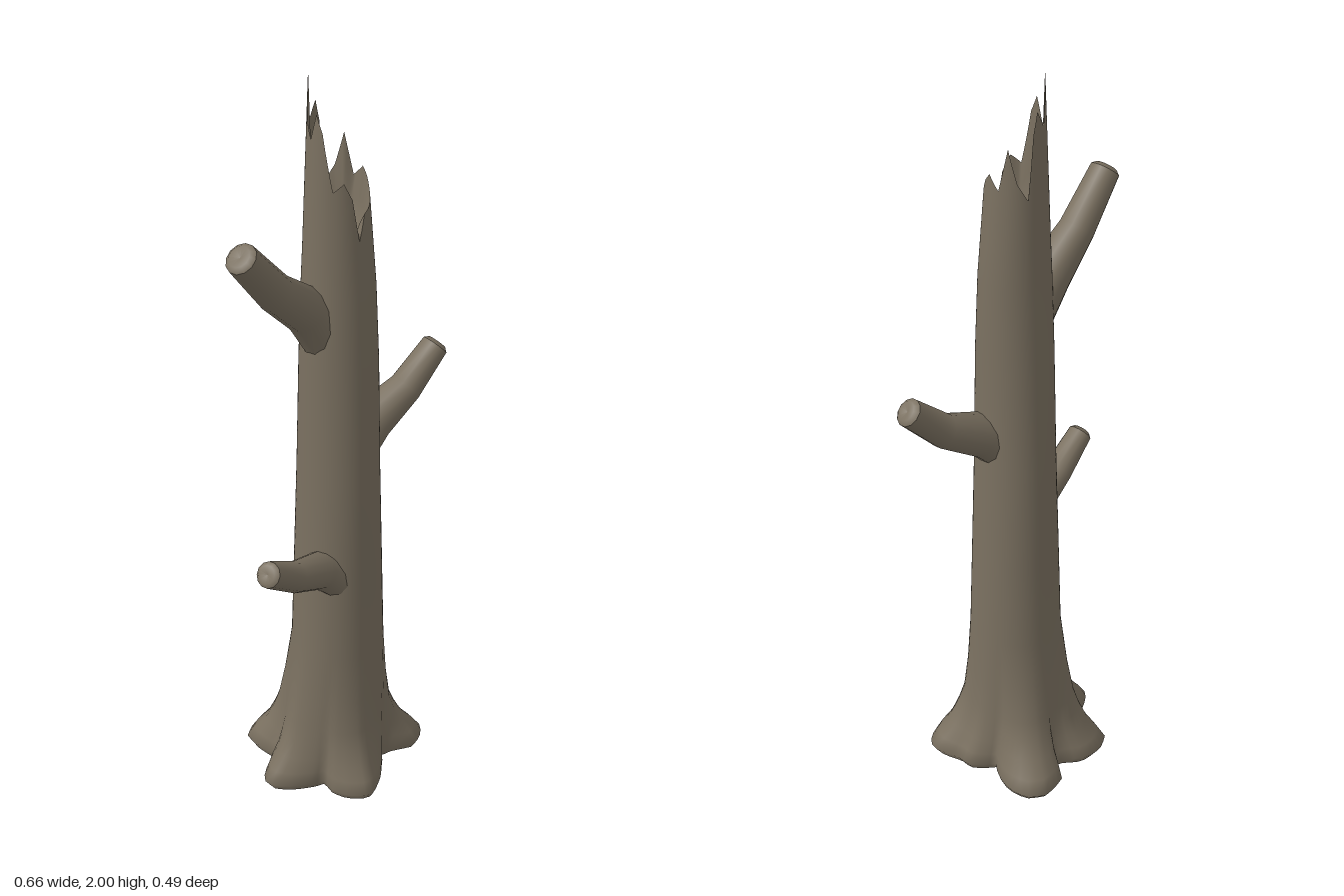
import * as THREE from 'three';

const bark = new THREE.MeshStandardMaterial({ color: 0x7a7060 });
bark.name = 'bark';
const SIDES = 72;

// Trunk profile: height, centre x, centre z, radius x, radius z
const PROFILE = [
  [0, 0, 0.02, 0.14, 0.15], [0.2, 0, 0.02, 0.13, 0.14], [0.45, 0.005, 0.027, 0.122, 0.128],
  [1.0, 0, 0.035, 0.1, 0.115], [1.3, -0.003, 0.04, 0.095, 0.1], [1.5, -0.003, 0.038, 0.088, 0.088],
  [1.7, -0.005, 0.035, 0.075, 0.075], [2.0, -0.012, 0.033, 0.055, 0.06],
];

// Ground outline of the root flare: x, z
const ROOTS = [
  [0.2, -0.03], [0.21, 0.01], [0.25, 0.07], [0.25, 0.095], [0.21, 0.14], [0.15, 0.12], [0.095, 0.115],
  [0.06, 0.17], [0.02, 0.215], [-0.025, 0.245], [-0.08, 0.21], [-0.105, 0.165], [-0.1, 0.125],
  [-0.16, 0.11], [-0.245, 0.055], [-0.24, 0.03], [-0.165, -0.035], [-0.185, -0.085], [-0.195, -0.14],
  [-0.155, -0.175], [-0.105, -0.185], [-0.05, -0.16], [-0.015, -0.155], [0, -0.215], [0.07, -0.245],
  [0.12, -0.225], [0.147, -0.17], [0.147, -0.12], [0.13, -0.07],
];

// Splintered rim: angle in degrees, height
const RIM = [
  [0, 1.77], [15, 1.75], [30, 1.72], [50, 1.7], [70, 1.69], [85, 1.63], [95, 1.73], [110, 1.77],
  [130, 1.75], [150, 1.88], [165, 1.92], [180, 1.86], [200, 1.9], [220, 2.0], [240, 1.88], [260, 1.92],
  [270, 1.87], [280, 1.72], [300, 1.76], [320, 1.84], [335, 1.74], [360, 1.77],
];

// Linear lookup in rows sorted by their first number
function lookup(rows, t) {
  let i = 0;
  while (i < rows.length - 2 && rows[i + 1][0] < t) i++;
  const a = rows[i], b = rows[i + 1];
  const f = THREE.MathUtils.clamp((t - a[0]) / (b[0] - a[0]), 0, 1);
  return a.map((v, k) => v + (b[k] - v) * f);
}

// Root outline as angle and distance, wrapped at both ends
const polar = ROOTS.map(([x, z]) => {
  const a = THREE.MathUtils.radToDeg(Math.atan2(z - 0.02, x));
  return [(a + 360) % 360, Math.hypot(x, z - 0.02)];
}).sort((p, q) => p[0] - q[0]);
const first = polar[0], last = polar[polar.length - 1];
const rootOutline = [[last[0] - 360, last[1]], ...polar, [first[0] + 360, first[1]]];

// Skin closed rings of equal length
function loft(rings) {
  const n = rings[0].length, index = [];
  for (let i = 0; i < rings.length - 1; i++) {
    for (let j = 0; j < n; j++) {
      const k = (j + 1) % n, a = i * n, b = a + n;
      index.push(a + j, b + j, a + k, b + j, b + k, a + k);
    }
  }
  const g = new THREE.BufferGeometry().setFromPoints(rings.flat());
  g.setIndex(index);
  g.computeVertexNormals();
  return g;
}

function part(name, geometry) {
  const m = new THREE.Mesh(geometry, bark);
  m.name = name;
  return m;
}

// Point on the trunk at an angle and height; flare pulls it out to the roots
function trunkPoint(deg, y, flare = 0, scale = 1) {
  const [, cx, cz, rx, rz] = lookup(PROFILE, y);
  const a = THREE.MathUtils.degToRad(deg), c = Math.cos(a), s = Math.sin(a);
  const r = lookup(rootOutline, deg)[1];
  const core = new THREE.Vector3(cx + rx * c * scale, y, cz + rz * s * scale);
  return core.lerp(new THREE.Vector3(r * c * scale, y, 0.02 + r * s * scale), flare);
}

const ring = (fn) => Array.from({ length: SIDES }, (_, j) => fn((j * 360) / SIDES));
const rimHeight = (deg) => lookup(RIM, deg)[1];

// Tapered bent branch with a cut end; nodes are x, y, z, radius
function branch(name, nodes) {
  const group = new THREE.Group();
  group.name = name;
  const pts = nodes.map((p) => new THREE.Vector3(p[0], p[1], p[2]));
  const circle = (i, r, push = 0) => {
    const d = pts[Math.min(i + 1, pts.length - 1)].clone().sub(pts[Math.max(i - 1, 0)]).normalize();
    const u = new THREE.Vector3(0, 0, 1).addScaledVector(d, -d.z).normalize();
    const v = u.clone().cross(d);
    return Array.from({ length: 12 }, (_, j) => {
      const a = (j / 12) * Math.PI * 2;
      return pts[i].clone().addScaledVector(u, Math.cos(a) * r)
        .addScaledVector(v, Math.sin(a) * r).addScaledVector(d, push);
    });
  };
  const end = pts.length - 1, r = nodes[end][3];
  group.add(part('branchLimb', loft(nodes.map((p, i) => circle(i, p[3])))));
  group.add(part('brokenEnd', loft([circle(end, r), circle(end, r * 0.7, 0.01), circle(end, 0, 0.004)])));
  return group;
}

export function createModel() {
  const tree = new THREE.Group();
  tree.name = 'deadTree';

  // Trunk with flared roots, ending in the splintered rim
  const levels = [[0, 1, 0.93], [0.025, 1], [0.06, 0.8], [0.1, 0.52], [0.15, 0.33], [0.2, 0.2],
    [0.3, 0.09], [0.45, 0], [0.7, 0], [1, 0], [1.3, 0], [1.5, 0], [1.6, 0]];
  const rings = levels.map(([y, flare, scale]) => ring((d) => trunkPoint(d, y, flare, scale)));
  rings.push(ring((d) => trunkPoint(d, rimHeight(d))));
  tree.add(part('trunk', loft(rings)));

  // Flat underside
  const centre = new THREE.Vector3(0, 0, 0.02);
  tree.add(part('underside', loft([ring(() => centre.clone()), ring((d) => trunkPoint(d, 0, 1, 0.93))])));

  // Hollow inside the broken top
  tree.add(part('hollow', loft([
    ring((d) => trunkPoint(d, rimHeight(d))),
    ring((d) => trunkPoint(d, 1.64 + (rimHeight(d) - 1.63) * 0.4, 0, 0.8)),
    ring((d) => trunkPoint(d, 1.61, 0, 0.6)),
    ring((d) => trunkPoint(d, 1.59, 0, 0)),
  ])));

  // Three broken branches
  tree.add(branch('upperRightBranch', [
    [-0.03, 1.35, 0.04, 0.06], [-0.1, 1.46, 0.05, 0.058], [-0.2, 1.545, 0.08, 0.046], [-0.3, 1.665, 0.112, 0.038]]));
  tree.add(branch('leftBranch', [
    [0.03, 1.02, 0.04, 0.062], [0.1, 1.085, 0.03, 0.058], [0.21, 1.14, 0.02, 0.044], [0.305, 1.23, 0.012, 0.036]]));
  tree.add(branch('lowerRightBranch', [
    [-0.03, 0.68, 0.085, 0.055], [-0.1, 0.745, 0.105, 0.05], [-0.2, 0.79, 0.145, 0.04], [-0.295, 0.86, 0.182, 0.033]]));

  return tree;
}
